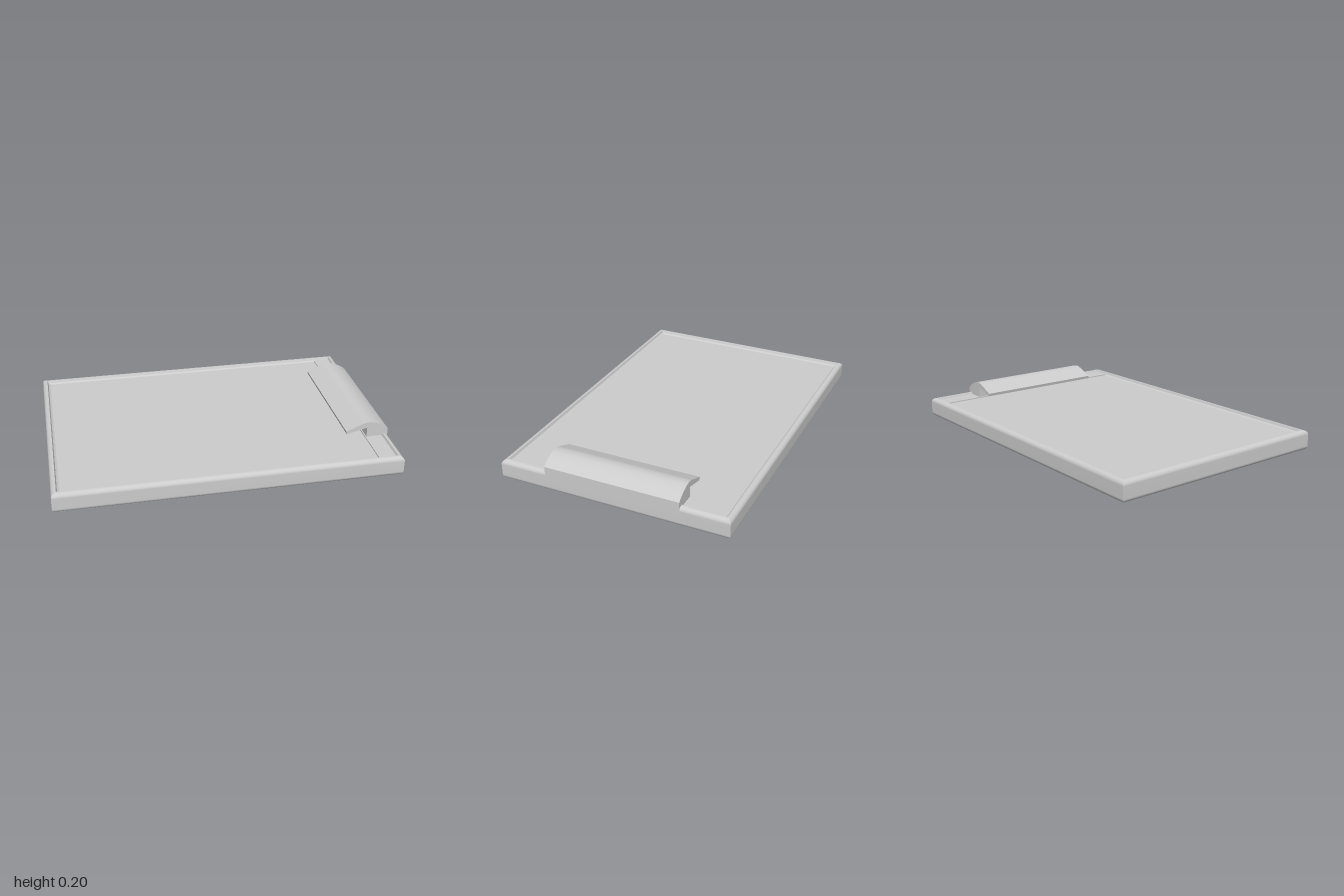
import * as THREE from 'three';
import { mergeGeometries, toCreasedNormals } from 'three/addons/utils/BufferGeometryUtils.js';

const HALF_X = 1, HALF_Z = 0.69, FLOOR_Y = 0.1;

// Sweeps an [inset, y] profile round the rectangle, with mitred corners
function mitredFrame(profile) {
  const corners = [[-1, 1], [1, 1], [1, -1], [-1, -1]];
  const sides = corners.map((a, i) => {
    const b = corners[(i + 1) % 4];
    const positions = [], index = [];
    profile.forEach(([inset, y], j) => {
      for (const [sx, sz] of [a, b]) positions.push(sx * (HALF_X - inset), y, sz * (HALF_Z - inset));
      if (j > 0) {
        const k = 2 * (j - 1);
        index.push(k, k + 1, k + 3, k, k + 3, k + 2);
      }
    });
    const g = new THREE.BufferGeometry();
    g.setAttribute('position', new THREE.Float32BufferAttribute(positions, 3));
    g.setIndex(index);
    g.computeVertexNormals();
    return g;
  });
  return mergeGeometries(sides);
}

export function createModel() {
  const group = new THREE.Group();
  const grey = new THREE.MeshStandardMaterial({ color: 0xcccccc });
  grey.name = 'light grey';

  function add(name, geometry, x = 0, y = 0, z = 0) {
    const mesh = new THREE.Mesh(geometry, grey);
    mesh.name = name;
    mesh.position.set(x, y, z);
    group.add(mesh);
    return mesh;
  }

  // Rounded outer edge, from the underside up to the rim
  const r = 0.026, steps = 8, outer = [];
  for (let i = 0; i <= steps; i++) {
    const t = (i / steps) * Math.PI / 2;
    outer.push([r - r * Math.sin(t), r - r * Math.cos(t)]);
  }
  for (let i = 0; i <= steps; i++) {
    const t = (i / steps) * Math.PI / 2;
    outer.push([r - r * Math.cos(t), 0.12 - r + r * Math.sin(t)]);
  }
  add('outerEdge', mitredFrame(outer));

  // Narrow rim, then the two slopes into the recess
  add('rim', mitredFrame([[r, 0.12], [0.03, 0.12]]));
  add('innerWall', mitredFrame([[0.03, 0.12], [0.036, 0.106]]));
  add('innerSlope', mitredFrame([[0.036, 0.106], [0.047, FLOOR_Y]]));

  // Underside and writing surface
  add('underside', new THREE.PlaneGeometry(2 * (HALF_X - r), 2 * (HALF_Z - r)).rotateX(Math.PI / 2));
  add('boardSurface', new THREE.PlaneGeometry(2 * (HALF_X - 0.047), 2 * (HALF_Z - 0.047)).rotateX(-Math.PI / 2), 0, FLOOR_Y);

  // Slightly raised strip beneath the clip
  add('clipBase', new THREE.BoxGeometry(0.106, 0.012, 1.3), 0.916, 0.101, 0);

  // Long clip with a rounded back and a sloping lip
  const s = new THREE.Shape();
  s.moveTo(1, 0.09);
  s.lineTo(1, 0.15);
  s.bezierCurveTo(0.96, 0.185, 0.91, 0.206, 0.875, 0.203);
  s.quadraticCurveTo(0.855, 0.202, 0.835, 0.193);
  s.lineTo(0.742, 0.154);
  s.lineTo(0.746, 0.136);
  s.lineTo(0.87, 0.168);
  s.lineTo(0.87, 0.09);
  s.closePath();
  const clip = new THREE.ExtrudeGeometry(s, { depth: 0.81, bevelEnabled: false, curveSegments: 16 });
  add('clip', toCreasedNormals(clip, 0.4), 0, 0, -0.405);

  return group;
}
